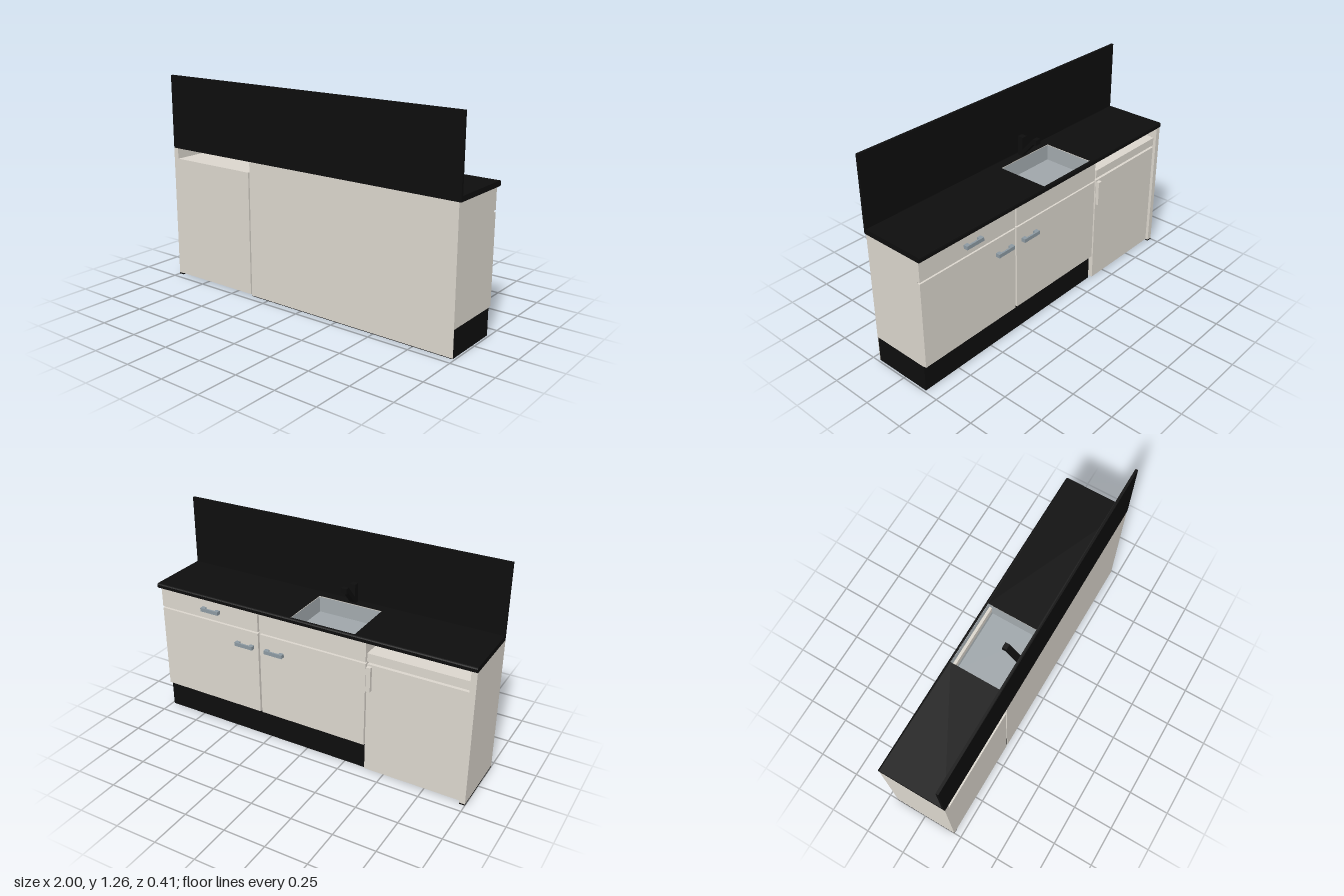
import * as THREE from 'three';

const mat = (color, side = THREE.FrontSide) => new THREE.MeshStandardMaterial({ color, side });

export function createModel() {
  const root = new THREE.Group();
  const cream = mat(0xdbd6cd), black = mat(0x0d0d0d), metal = mat(0x8c99a1);
  const steel = mat(0x9fa6aa, THREE.DoubleSide);

  const add = (name, geometry, material, parent = root) => {
    const mesh = new THREE.Mesh(geometry, material);
    mesh.name = name;
    parent.add(mesh);
    return mesh;
  };
  // Box given by its min and max along each axis
  const box = (name, x0, x1, y0, y1, z0, z1, material, parent) => {
    const mesh = add(name, new THREE.BoxGeometry(x1 - x0, y1 - y0, z1 - z0), material, parent);
    mesh.position.set((x0 + x1) / 2, (y0 + y1) / 2, (z0 + z1) / 2);
    return mesh;
  };
  // Profile drawn in (z, y), extruded along x from x0 to x1
  const alongX = (name, points, x0, x1, material) => {
    const shape = new THREE.Shape(points.map(([z, y]) => new THREE.Vector2(-z, y)));
    const g = new THREE.ExtrudeGeometry(shape, { depth: x1 - x0, bevelEnabled: false });
    g.rotateY(Math.PI / 2).translate(x0, 0, 0);
    return add(name, g, material);
  };

  // Cabinet carcass: hollow, so the basin can hang inside
  const cabinet = new THREE.Group();
  cabinet.name = 'cabinet';
  root.add(cabinet);
  box('cabinetLeftSide', 0.97, 0.99, 0.16, 0.82, -0.16, 0.203, cream, cabinet);
  box('cabinetRightSide', -0.375, -0.355, 0.16, 0.82, -0.16, 0.203, cream, cabinet);
  box('cabinetFloor', -0.355, 0.97, 0.16, 0.18, -0.16, 0.203, cream, cabinet);
  box('cabinetDivider', 0.295, 0.315, 0.18, 0.74, -0.16, 0.203, cream, cabinet);
  box('cabinetRail', -0.355, 0.97, 0.67, 0.71, -0.16, -0.145, cream, cabinet);
  box('cabinetBack', -0.375, 0.99, 0.004, 0.82, 0.203, 0.205, cream, cabinet);
  box('plinth', -0.373, 0.988, 0, 0.16, -0.16, 0.203, black, cabinet);

  // Doors and drawer fronts, two columns
  for (const [x0, x1] of [[-0.375, 0.3], [0.312, 0.99]]) {
    box('door', x0, x1, 0.165, 0.685, -0.178, -0.16, cream, cabinet);
    box('drawerFront', x0, x1, 0.695, 0.82, -0.178, -0.16, cream, cabinet);
  }

  // Bar handles on two feet
  for (const [x, y] of [[0.63, 0.756], [0.4, 0.592], [0.2, 0.592]]) {
    const handle = new THREE.Group();
    handle.name = 'handle';
    handle.position.set(x, y, 0);
    box('handleBar', -0.06, 0.06, -0.011, 0.011, -0.204, -0.194, metal, handle);
    for (const s of [-1, 1]) {
      box('handleFoot', s * 0.047 - 0.013, s * 0.047 + 0.013, -0.011, 0.011, -0.194, -0.178, metal, handle);
    }
    root.add(handle);
  }

  // Under-counter fridge with an open gap above it
  const fridge = new THREE.Group();
  fridge.name = 'fridge';
  root.add(fridge);
  box('fridgeBody', -0.967, -0.385, 0.01, 0.755, -0.16, 0.205, cream, fridge);
  box('fridgeDoor', -0.962, -0.385, 0.01, 0.69, -0.18, -0.16, cream, fridge);
  box('fridgeTopStrip', -0.962, -0.385, 0.705, 0.755, -0.18, -0.16, cream, fridge);
  box('fridgeHandle', -0.415, -0.388, 0.53, 0.68, -0.2, -0.18, cream, fridge);

  // End panel standing on a thin dark strip
  box('endPanel', -1, -0.967, 0.008, 0.82, -0.195, 0.205, cream);
  box('endPanelFoot', -1, -0.967, 0, 0.008, -0.195, 0.205, black);

  // Worktop with a cut-out for the basin
  const hole = { x0: -0.31, x1: 0.085, z0: -0.185, z1: 0.13 };
  const rect = (Type, x0, x1, z0, z1) => new Type([[x0, z0], [x1, z0], [x1, z1], [x0, z1]]
    .map(([x, z]) => new THREE.Vector2(x, -z)));
  const plan = rect(THREE.Shape, -1, 1, -0.192, 0.205);
  plan.holes.push(rect(THREE.Path, hole.x0, hole.x1, hole.z0, hole.z1));
  const top = new THREE.ExtrudeGeometry(plan, { depth: 0.03, bevelEnabled: false });
  top.rotateX(-Math.PI / 2).translate(0, 0.82, 0);
  add('worktop', top, black);
  alongX('worktopNosing', [[-0.192, 0.82], [-0.197, 0.822], [-0.2, 0.828], [-0.2, 0.842],
    [-0.197, 0.848], [-0.192, 0.85]], -1, 1, black);
  box('backsplash', -1, 1, 0.85, 1.265, 0.19, 0.205, black);

  // Basin: rim ring, floor ring and floor
  const { x0, x1, z0, z1 } = hole;
  const rim = 0.846, floor = 0.755;
  const basin = new THREE.BufferGeometry();
  basin.setAttribute('position', new THREE.Float32BufferAttribute([
    x0, rim, z0, x1, rim, z0, x1, rim, z1, x0, rim, z1,
    x0 + 0.005, floor, z0 + 0.03, x1 - 0.005, floor, z0 + 0.03,
    x1 - 0.005, floor, z1 - 0.005, x0 + 0.005, floor, z1 - 0.005], 3));
  const index = [4, 6, 5, 4, 7, 6];
  for (let i = 0; i < 4; i++) {
    const j = (i + 1) % 4;
    index.push(i, i + 4, j, j, i + 4, j + 4);
  }
  basin.setIndex(index);
  const flatBasin = basin.toNonIndexed();
  flatBasin.computeVertexNormals();
  add('basin', flatBasin, steel);

  // Tap: upright post and angled spout
  box('tapPost', -0.138, -0.103, 0.85, 0.965, 0.14, 0.175, black);
  alongX('tapSpout', [[0.145, 0.885], [0.063, 0.98], [0.037, 0.98], [0.037, 0.948],
    [0.06, 0.948], [0.145, 0.852]], -0.138, -0.103, black);

  return root;
}
